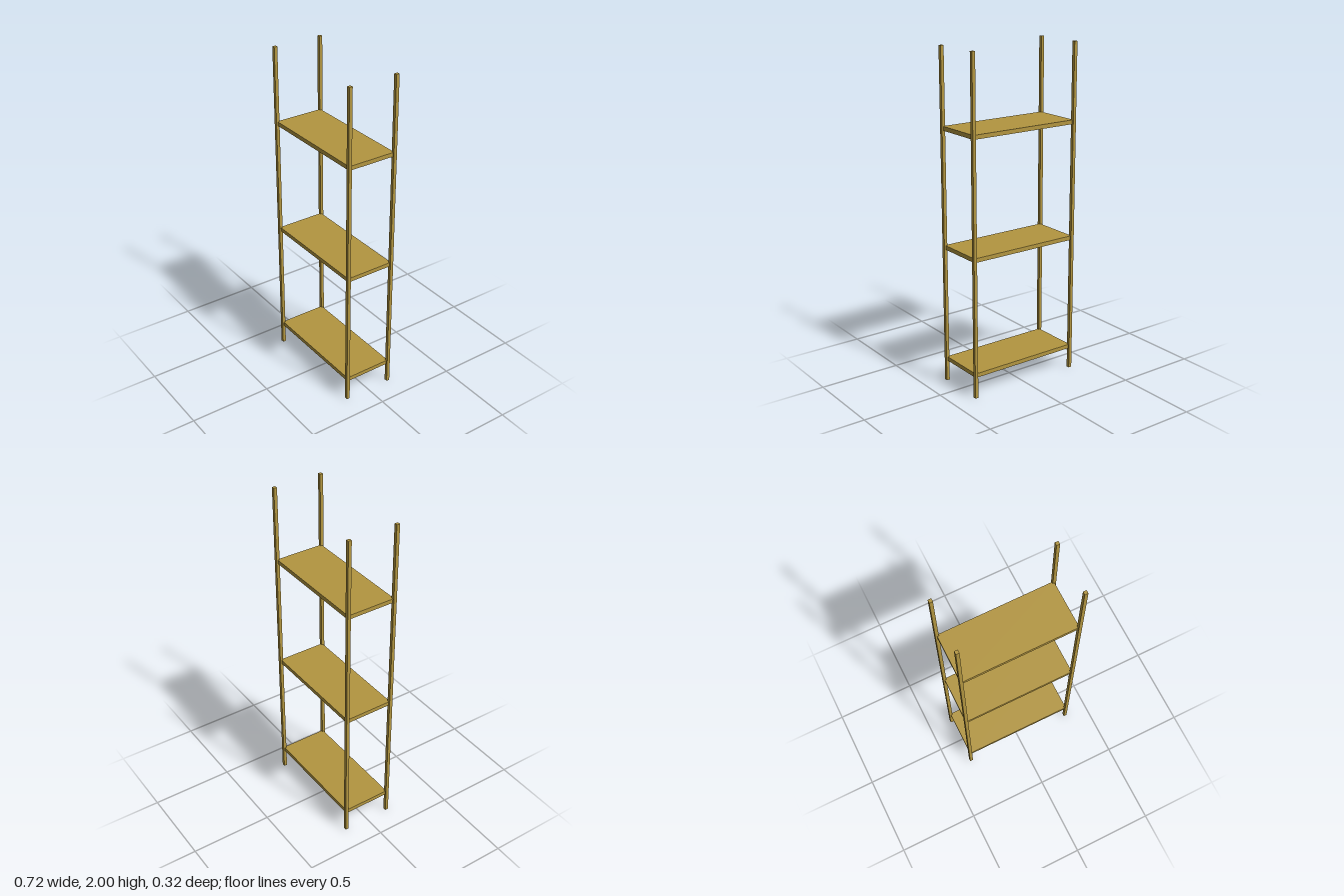
import * as THREE from 'three';

export function createModel() {
  const model = new THREE.Group();
  model.name = 'shelvingUnit';
  const wood = new THREE.MeshStandardMaterial({ color: 0xb39640 });

  const width = 0.7, depth = 0.3, height = 2;
  const postSize = 0.02, shelfThickness = 0.025;

  function addBox(name, size, position) {
    const mesh = new THREE.Mesh(new THREE.BoxGeometry(...size), wood);
    mesh.name = name;
    mesh.position.set(...position);
    model.add(mesh);
  }

  // Square posts centred on the shelf corners
  for (const [side, sx] of [['Left', 1], ['Right', -1]]) {
    for (const [end, sz] of [['front', 1], ['back', -1]]) {
      addBox(`${end}${side}Post`, [postSize, height, postSize],
        [sx * width / 2, height / 2, sz * depth / 2]);
    }
  }

  // Three evenly spaced shelves, placed by their top surface
  const shelfTops = { lowerShelf: 0.15, middleShelf: 0.85, upperShelf: 1.55 };
  for (const [name, top] of Object.entries(shelfTops)) {
    addBox(name, [width, shelfThickness, depth], [0, top - shelfThickness / 2, 0]);
  }

  return model;
}
